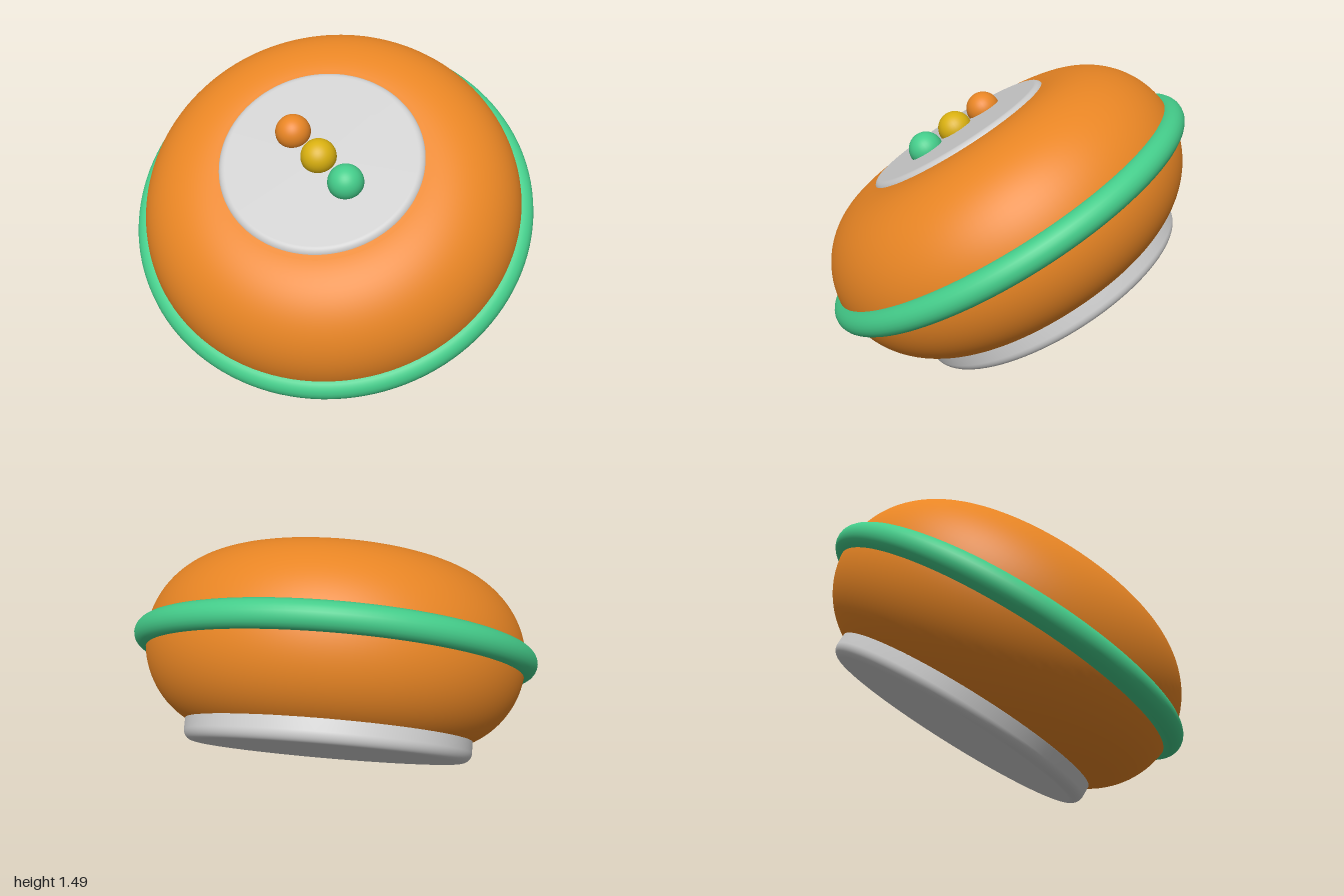
import * as THREE from 'three';

const ORANGE = 0xe88524, GREEN = 0x44cc8a, YELLOW = 0xd9b010, GREY = 0xcccccc;

// Round slab about the y axis: flat faces with a rounded rim of the given radius.
function roundedDisc(radius, bottom, top, rim, segments = 96, steps = 12) {
  const points = [new THREE.Vector2(0, bottom)];
  const arc = (cy, from) => {
    for (let i = 0; i <= steps; i++) {
      const a = from + (i / steps) * Math.PI / 2;
      points.push(new THREE.Vector2(radius - rim + rim * Math.cos(a), cy + rim * Math.sin(a)));
    }
  };
  arc(bottom + rim, -Math.PI / 2);
  if (top - bottom - 2 * rim < 1e-4) points.pop();
  arc(top - rim, 0);
  points.push(new THREE.Vector2(0, top));
  return new THREE.LatheGeometry(points, segments);
}

export function createModel() {
  const model = new THREE.Group();
  model.name = 'tiltedSaucer';

  // Everything is built upright around the equator, then tilted as one.
  const saucer = new THREE.Group();
  saucer.name = 'saucer';
  saucer.position.y = 0.777;
  saucer.quaternion.setFromUnitVectors(
    new THREE.Vector3(0, 1, 0),
    new THREE.Vector3(-0.07, 0.842, 0.535).normalize()
  );
  model.add(saucer);

  const add = (name, geometry, color) => {
    const mesh = new THREE.Mesh(geometry, new THREE.MeshStandardMaterial({ color }));
    mesh.name = name;
    saucer.add(mesh);
    return mesh;
  };

  // Bulging body and the band round its equator
  add('body', roundedDisc(0.943, -0.438, 0.438, 0.438, 128, 24), ORANGE);
  add('equatorRing', new THREE.TorusGeometry(0.935, 0.065, 24, 128).rotateX(Math.PI / 2), GREEN);

  // Plates above and below
  add('topPlate', roundedDisc(0.484, 0.38, 0.457, 0.036), GREY);
  add('basePlate', roundedDisc(0.712, -0.492, -0.34, 0.05), GREY);

  // Row of domed buttons, half sunk into the top plate
  const buttons = [
    ['backButton', -0.17, 1.23, 0.13, ORANGE],
    ['middleButton', -0.04, 1.168, 0.248, YELLOW],
    ['frontButton', 0.093, 1.105, 0.366, GREEN],
  ];
  saucer.updateMatrixWorld(true);
  for (const [name, x, y, z, color] of buttons) {
    const button = add(name, new THREE.SphereGeometry(0.084, 32, 24), color);
    button.position.copy(saucer.worldToLocal(new THREE.Vector3(x, y, z)));
  }

  return model;
}
